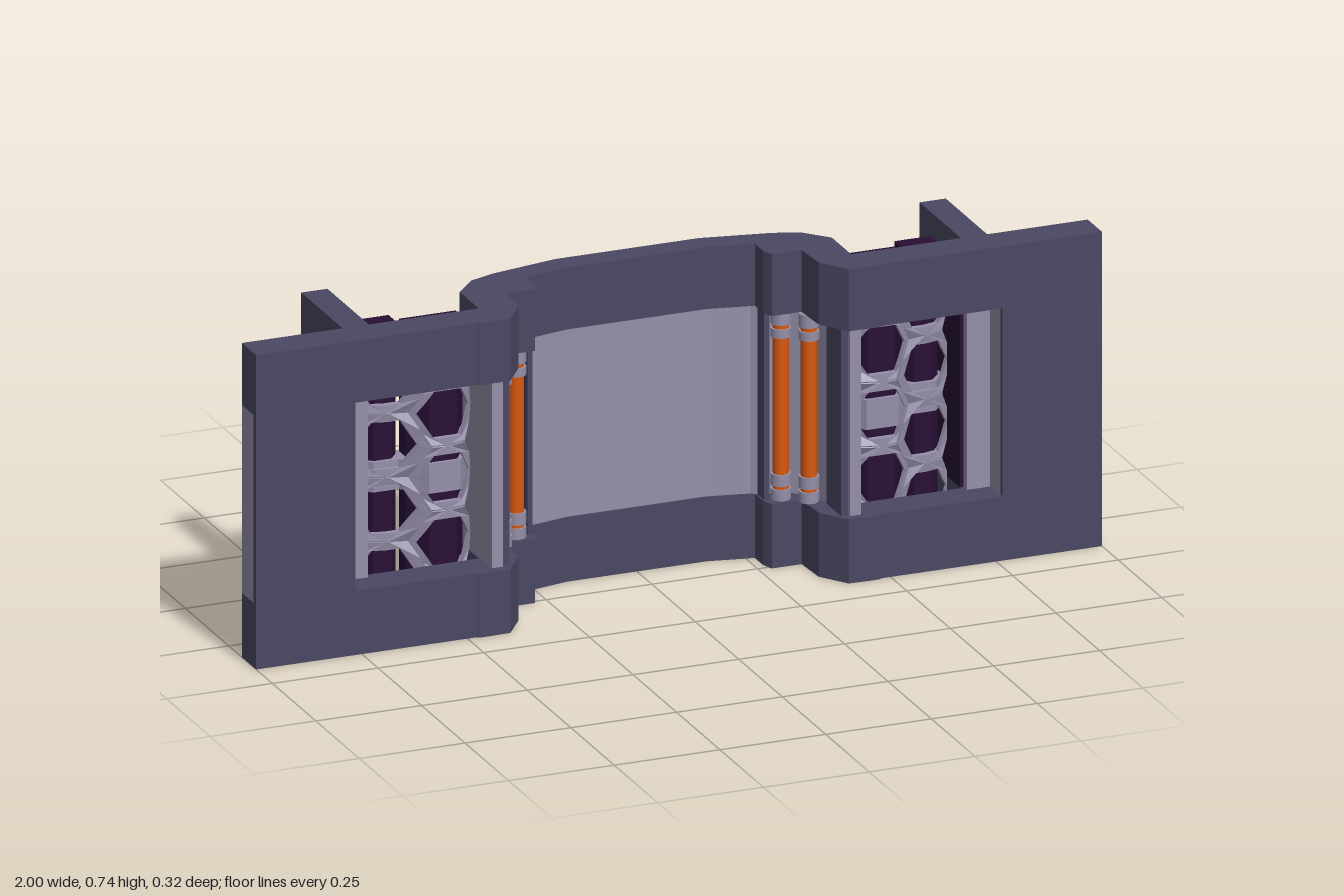
import * as THREE from 'three';

const mat = (name, color) => {
  const m = new THREE.MeshStandardMaterial({ color });
  m.name = name;
  return m;
};

export function createModel() {
  const model = new THREE.Group();
  model.name = 'wallPanel';
  const frame = mat('slate frame', 0x4a4863);
  const pale = mat('pale lavender', 0x958fa8);
  const orange = mat('orange', 0xd9580f);
  const purple = mat('dark purple', 0x280e36);

  const add = (name, geo, material, x = 0, y = 0, z = 0) => {
    const mesh = new THREE.Mesh(geo, material);
    mesh.name = name;
    mesh.position.set(x, y, z);
    model.add(mesh);
    return mesh;
  };
  // plan outline of [x, z] points raised from y0 to y1
  const raise = (name, pts, y0, y1, material) => {
    const shape = new THREE.Shape(pts.map(([x, z]) => new THREE.Vector2(x, -z)));
    const geo = new THREE.ExtrudeGeometry(shape, { depth: y1 - y0, bevelEnabled: false });
    return add(name, geo.rotateX(-Math.PI / 2), material, 0, y0, 0);
  };
  // box from its two corners
  const block = (name, x0, x1, y0, y1, z0, z1, material) =>
    add(name, new THREE.BoxGeometry(Math.abs(x1 - x0), y1 - y0, z1 - z0), material,
      (x0 + x1) / 2, (y0 + y1) / 2, (z0 + z1) / 2);
  const flip = (pts, s) => pts.map(([x, z]) => [s * x, z]);
  const both = (pts) => [...pts, ...flip(pts, -1).reverse()];

  const H = 0.735, LOW = 0.15, HIGH = 0.59;

  // half outlines, running from the flange to the middle
  const back = [[0.44, -0.035], [0.39, -0.09], [0.33, -0.112], [0.17, -0.143]];
  const inner = [[0.165, -0.085], [0.27, -0.064], [0.27, -0.016], [0.28, 0.01],
    [0.35, 0.01], [0.355, 0.096], [0.4, 0.16]];
  const backFull = both([[1, 0.157], [1, 0.075], [0.44, 0.075], ...back]);
  const innerFull = both([...inner, [0.47, 0.162], [0.48, 0.157]].reverse()).reverse();
  const section = [...backFull, ...innerFull];

  // lower and upper frame bands
  raise('lowerBand', section, 0, LOW, frame);
  raise('upperBand', section, HIGH, H, frame);

  // recessed middle of the arch with its painted back
  const core = back.map(([x, z]) => [x - (x > 0.4 ? 0.004 : 0), z + 0.007]);
  const recess = [[0.165, -0.09], [0.262, -0.07], [0.28, -0.055], [0.335, -0.05],
    [0.385, 0], [0.4, 0.08], [0.41, 0.142], [0.436, 0.142]];
  raise('archLining', [...both([...core]), ...both([...recess].reverse()).reverse()],
    LOW, HIGH, pale);
  raise('archBack', [...both(back), ...both(core).reverse()], LOW, HIGH, orange);

  // front honeycomb follows the faces of the columns
  const bend = [[0.44, 0.015], [0.48, 0.063], [0.55, 0.063], [0.605, 0.012],
    [0.66, 0.012], [0.7, -0.02]];
  const bendZ = (x) => {
    for (let i = 1; i < bend.length; i++) {
      const [a, za] = bend[i - 1], [b, zb] = bend[i];
      if (x <= b) return za + (zb - za) * (x - a) / (b - a);
    }
    return -0.02;
  };
  const hexPoints = (r) => Array.from({ length: 12 }, (_, i) => {
    const a = (Math.floor(i / 2) * Math.PI) / 3, b = a + Math.PI / 3, t = (i % 2) / 2;
    return new THREE.Vector2(r * (Math.cos(a) * (1 - t) + Math.cos(b) * t),
      r * (Math.sin(a) * (1 - t) + Math.sin(b) * t));
  });
  const hexCell = (cx, cy, s) => {
    const shape = new THREE.Shape(hexPoints(0.089));
    shape.holes.push(new THREE.Path(hexPoints(0.064)));
    const geo = new THREE.ExtrudeGeometry(shape, { depth: 0.014, bevelEnabled: false });
    const p = geo.attributes.position;
    for (let i = 0; i < p.count; i++) {
      const x = THREE.MathUtils.clamp(cx + p.getX(i), 0.442, 0.7);
      // outlines of the end cells stay inside the panel height
      p.setXYZ(i, s > 0 ? x : -x, cy + p.getY(i), p.getZ(i) + bendZ(x));
    }
    if (s < 0) { // mirrored corners are put back in order
      for (let i = 0; i < p.count; i += 3) {
        const a = new THREE.Vector3().fromBufferAttribute(p, i + 1);
        const b = new THREE.Vector3().fromBufferAttribute(p, i + 2);
        p.setXYZ(i + 1, b.x, b.y, b.z);
        p.setXYZ(i + 2, a.x, a.y, a.z);
      }
    }
    geo.computeVertexNormals();
    add('honeycombCell', geo, pale);
  };

  const bigColumn = [[0.452, -0.03], [0.585, -0.03], [0.585, 0.005], [0.55, 0.06],
    [0.485, 0.06], [0.452, 0.01]];
  const smallColumn = [[0.598, -0.06], [0.684, -0.06], [0.684, -0.02], [0.66, 0.005],
    [0.618, 0.005], [0.598, -0.02]];
  const clip = [[0.44, -0.038], [0.588, -0.038], [0.588, -0.068], [0.695, -0.068],
    [0.695, -0.02], [0.665, 0.014], [0.605, 0.014], [0.555, 0.068], [0.48, 0.068], [0.44, 0.018]];

  for (const s of [1, -1]) {
    // flange: pale core behind a slate face
    block('flangeFace', s * 0.765, s, LOW, HIGH, 0.143, 0.157, frame);
    block('flangeCore', s * 0.765, s, LOW, HIGH, 0.075, 0.143, pale);

    // fin: slate ends, pale outside, dark inside and rear edge
    block('finLower', s * 0.7, s * 0.762, 0, LOW, -0.163, 0.076, frame);
    block('finUpper', s * 0.7, s * 0.762, HIGH, H, -0.163, 0.076, frame);
    block('finOutside', s * 0.708, s * 0.762, LOW, HIGH, -0.157, 0.09, pale);
    block('finInside', s * 0.7, s * 0.708, LOW, HIGH, -0.157, 0.07, purple);
    block('finRearEdge', s * 0.7, s * 0.762, LOW, HIGH, -0.163, -0.157, purple);

    // columns with their clip
    raise('largeColumn', flip(bigColumn, s), 0.04, 0.695, purple);
    raise('smallColumn', flip(smallColumn, s), 0.04, 0.695, purple);
    raise('columnClip', flip(clip, s), 0.315, 0.385, pale);

    // honeycomb screen
    for (const y of [0.2, 0.35, 0.5]) hexCell(0.514, y, s);
    for (const y of [0.125, 0.275, 0.425, 0.575]) hexCell(0.638, y, s);

    // dark strips beside the lamps
    block('lampEdge', s * 0.392, s * 0.408, LOW, HIGH, 0.05, 0.135, frame);
    block('lampEdge', s * 0.274, s * 0.286, LOW, HIGH, -0.06, -0.02, frame);

    // paired lamps with end sockets and collars
    for (const [x, z] of [[0.363, 0.02], [0.313, -0.02]]) {
      const rod = (name, r, y0, y1, m) =>
        add(name, new THREE.CylinderGeometry(r, r, y1 - y0, 12), m, s * x, (y0 + y1) / 2, z);
      rod('lamp', 0.018, 0.16, 0.58, orange);
      rod('lowerSocket', 0.023, LOW, 0.175, pale);
      rod('lowerCollar', 0.023, 0.183, 0.21, pale);
      rod('upperCollar', 0.023, 0.53, 0.55, pale);
      rod('upperSocket', 0.023, 0.56, HIGH, pale);
    }
  }
  return model;
}
